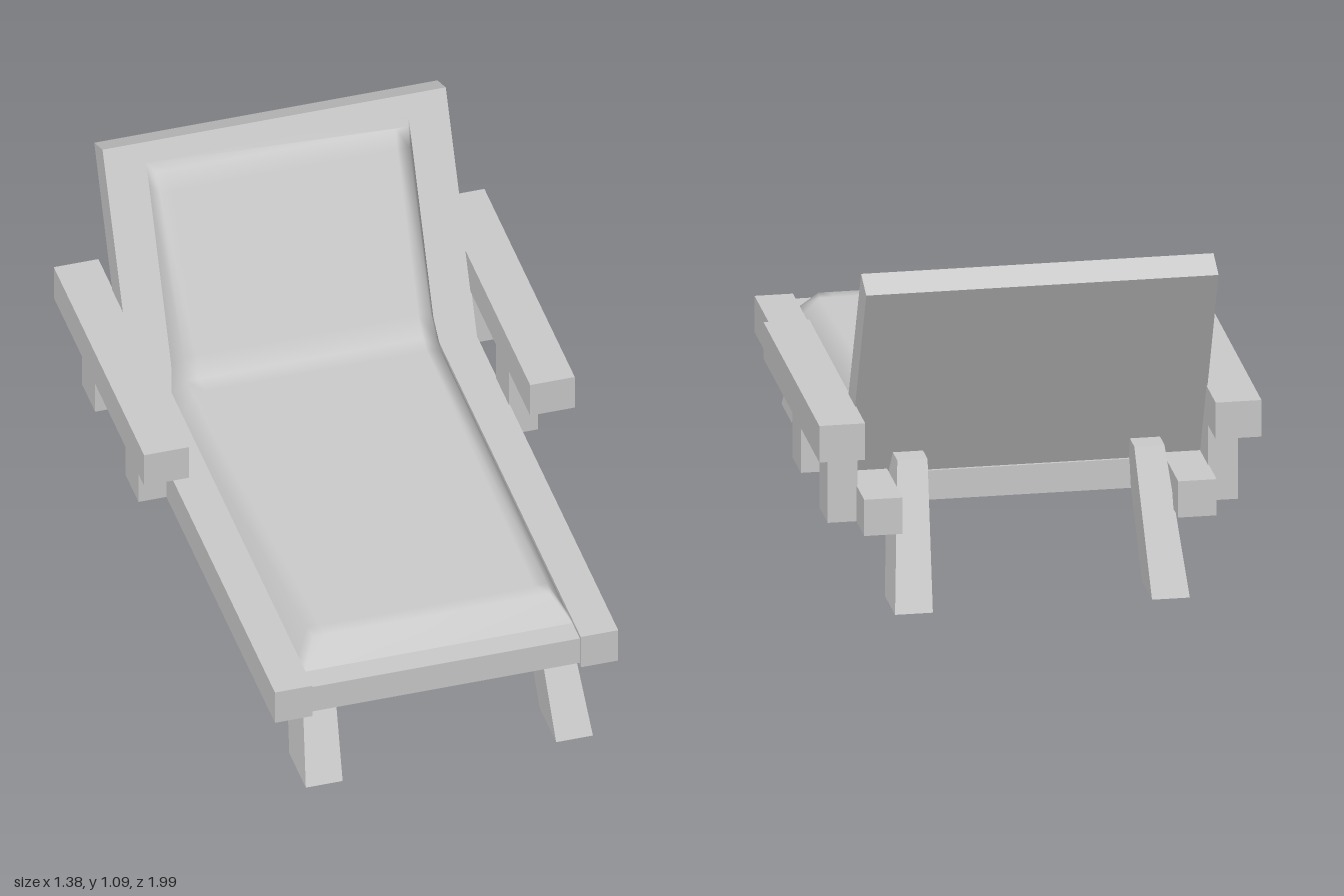
import * as THREE from 'three';

const material = new THREE.MeshStandardMaterial({ color: 0xcccccc });

function add(parent, name, geometry) {
  const mesh = new THREE.Mesh(geometry, material);
  mesh.name = name;
  parent.add(mesh);
  return mesh;
}

// Box given by its limits on each axis
function block([x0, x1], [y0, y1], [z0, z1]) {
  return new THREE.BoxGeometry(x1 - x0, y1 - y0, z1 - z0)
    .translate((x0 + x1) / 2, (y0 + y1) / 2, (z0 + z1) / 2);
}

// Side profile of [z, y] points, extruded across the full width
function sideProfile(points, width) {
  const shape = new THREE.Shape(points.map(([z, y]) => new THREE.Vector2(z, y)));
  return new THREE.ExtrudeGeometry(shape, { depth: width, bevelEnabled: false })
    .rotateY(-Math.PI / 2).translate(width / 2, 0, 0);
}

// Splayed leg: a box whose top and bottom faces have their own limits.
// end = 1 for the front pair, -1 for the rear pair
function legGeometry(side, end, height) {
  const geometry = new THREE.BoxGeometry(1, 1, 1);
  const p = geometry.attributes.position;
  for (let i = 0; i < p.count; i++) {
    const y = p.getY(i) > 0 ? height : 0;
    const outer = p.getX(i) * side > 0;
    const far = p.getZ(i) * end > 0;
    const x = outer ? 0.46 - 0.1 * y : 0.342 - 0.045 * y;
    const z = (far ? 0.995 : 0.815) - 0.47 * y;
    p.setXYZ(i, side * x, y, end * z);
  }
  geometry.computeVertexNormals();
  return geometry;
}

// Cushion: cross-sections with bevelled sides, lofted along the seat and back
function cushionGeometry() {
  // base z, base y, top z, top y, side inset
  const stations = [
    [0.875, 0.355, 0.80, 0.425, 0.05],
    [0.80, 0.355, 0.75, 0.426, 0.045],
    [-0.45, 0.355, -0.45, 0.439, 0.035],
    [-0.56, 0.36, -0.51, 0.445, 0.03],
    [-0.60, 0.445, -0.545, 0.51, 0.025],
    [-0.84, 0.965, -0.79, 0.97, 0.02],
    [-0.872, 1.028, -0.82, 1.028, 0.015],
  ];
  const positions = [], indices = [], n = 6;
  stations.forEach(([bz, by, tz, ty, inset], s) => {
    const w = s < 4 ? 0.43 : 0.42;
    const half = [[w, by, bz], [w - inset, ty, tz], [w - inset - 0.04, ty, tz]];
    half.forEach(([x, y, z]) => positions.push(-x, y, z));
    half.reverse().forEach(([x, y, z]) => positions.push(x, y, z));
    if (s === stations.length - 1) return;
    for (let i = 0; i < n - 1; i++) {
      const a = s * n + i, c = a + n;
      indices.push(a, a + 1, c, a + 1, c + 1, c);
    }
  });
  // End caps
  const last = (stations.length - 1) * n;
  for (let i = 1; i < n - 1; i++) {
    indices.push(0, i + 1, i, last, last + i, last + i + 1);
  }
  const geometry = new THREE.BufferGeometry();
  geometry.setAttribute('position', new THREE.Float32BufferAttribute(positions, 3));
  geometry.setIndex(indices);
  geometry.computeVertexNormals();
  return geometry;
}

export function createModel() {
  const lounger = new THREE.Group();
  lounger.name = 'lounger';

  // Bed panel, reclined backrest and cushion
  add(lounger, 'bedPanel', block([-0.43, 0.43], [0.26, 0.355], [-0.69, 0.955]));
  add(lounger, 'backrest', sideProfile(
    [[-0.56, 0.355], [-0.68, 0.355], [-0.995, 1.045], [-0.905, 1.085]], 1.1));
  add(lounger, 'cushion', cushionGeometry());

  for (const side of [1, -1]) {
    const label = side > 0 ? 'left' : 'right';
    const span = (a, b) => (side > 0 ? [a, b] : [-b, -a]);

    // Side rail
    add(lounger, label + 'Rail', block(span(0.43, 0.55), [0.25, 0.368], [-0.96, 0.965]));

    // Armrest on two posts fixed to the outside of the rail
    const arm = new THREE.Group();
    arm.name = label + 'Arm';
    lounger.add(arm);
    add(arm, 'armrest', block(span(0.547, 0.69), [0.498, 0.617], [-0.96, 0.02]));
    add(arm, 'frontPost', block(span(0.547, 0.64), [0.252, 0.5], [-0.353, -0.21]));
    add(arm, 'rearPost', block(span(0.547, 0.64), [0.252, 0.5], [-0.825, -0.68]));

    // Splayed legs; the rear ones run up to the backrest
    add(lounger, label + 'FrontLeg', legGeometry(side, 1, 0.3));
    add(lounger, label + 'RearLeg', legGeometry(side, -1, 0.43));
  }
  return lounger;
}
